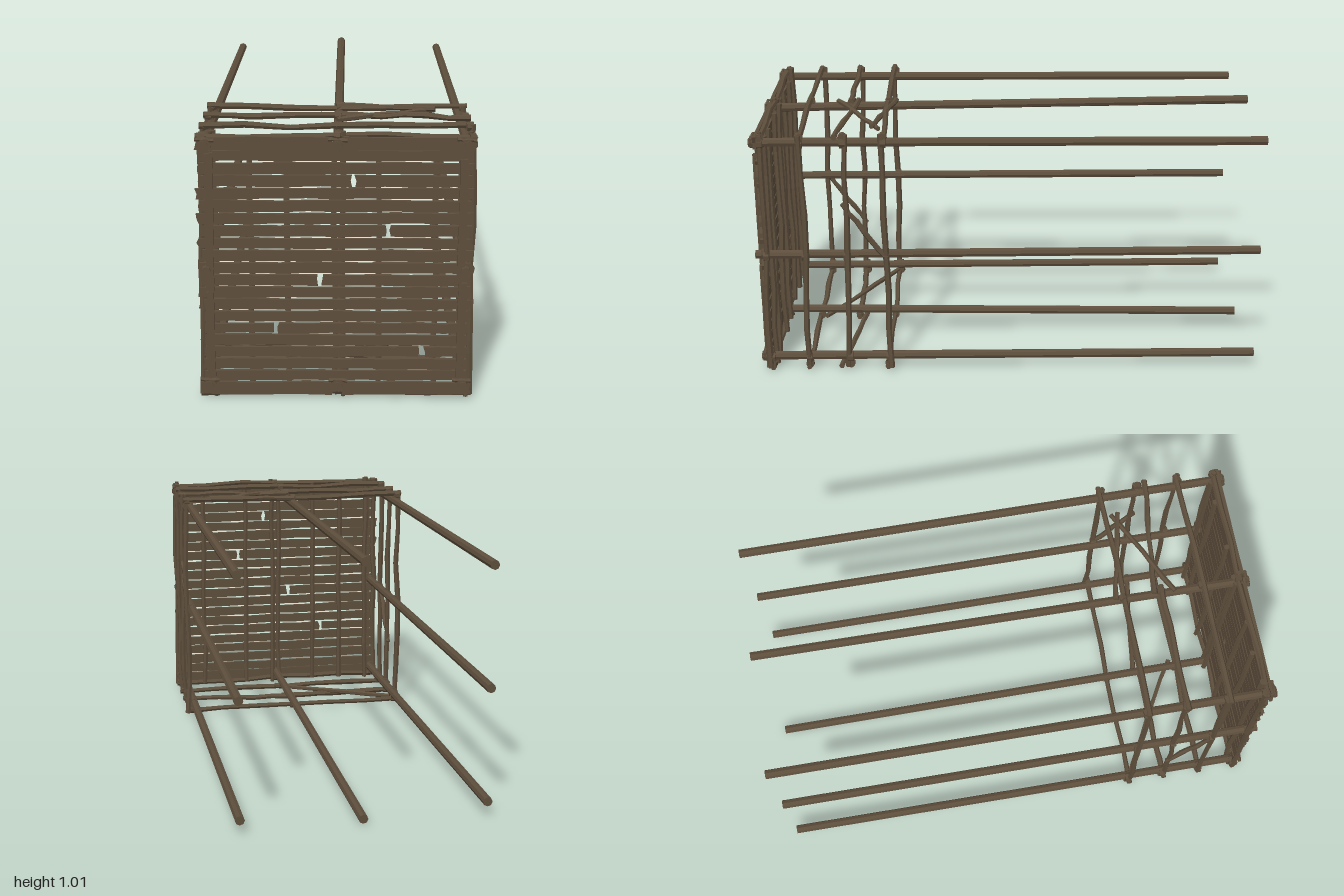
import * as THREE from 'three';

const wood = new THREE.MeshStandardMaterial({ color: 0x5d4e3c, flatShading: true });
wood.name = 'weathered wood';

// Seeded random in -1..1
let seed = 11;
const rnd = () => {
  seed = (seed * 16807) % 2147483647;
  return (seed / 2147483647) * 2 - 1;
};

export function createModel() {
  const model = new THREE.Group();
  model.name = 'woodenScaffold';

  const add = (geometry, name) => {
    const mesh = new THREE.Mesh(geometry, wood);
    mesh.name = name;
    model.add(mesh);
    return mesh;
  };

  // Round rod from a to b; bend makes it crooked and uneven like a branch
  const rod = (name, a, b, r, bend = 0, sides = 6) => {
    const start = new THREE.Vector3(...a), end = new THREE.Vector3(...b);
    const length = start.distanceTo(end), steps = bend ? 6 : 1;
    const g = new THREE.CylinderGeometry(r, r, length, sides, steps);
    const shift = Array.from({ length: steps + 1 }, () => [rnd() * bend, rnd() * bend, 1 + (bend ? rnd() * 0.15 : 0)]);
    const p = g.attributes.position;
    for (let i = 0; i < p.count; i++) {
      const [dx, dz, s] = shift[Math.round((p.getY(i) / length + 0.5) * steps)];
      p.setX(i, p.getX(i) * s + dx);
      p.setZ(i, p.getZ(i) * s + dz);
    }
    const mesh = add(g, name);
    mesh.position.copy(start).lerp(end, 0.5);
    mesh.quaternion.setFromUnitVectors(new THREE.Vector3(0, 1, 0), end.sub(start).normalize());
    return mesh;
  };

  // Flat board with wavy long edges and ragged ends, lying along x
  const board = (name, x0, x1, y, h, z, t = 0.014) => {
    const length = x1 - x0, steps = Math.max(3, Math.round(length * 10));
    const g = new THREE.BoxGeometry(length, h, t, steps, 2, 1);
    const p = g.attributes.position;
    const wave = Array.from({ length: steps + 1 }, () => [rnd() * 0.0025, rnd() * 0.0025]);
    const ragged = [0, 1, 2, 3, 4, 5].map(() => rnd() * 0.006);
    for (let i = 0; i < p.count; i++) {
      const col = Math.round((p.getX(i) / length + 0.5) * steps);
      const row = Math.round((p.getY(i) / h + 0.5) * 2);
      p.setY(i, p.getY(i) + (row === 2 ? wave[col][0] : row === 0 ? wave[col][1] : 0));
      if (col === 0) p.setX(i, p.getX(i) + ragged[row]);
      if (col === steps) p.setX(i, p.getX(i) + ragged[row + 3]);
    }
    const mesh = add(g, name);
    mesh.position.set((x0 + x1) / 2, y, z);
    return mesh;
  };

  // Lashing wrapped around a joint
  const knot = (x, y, z, axis, r = 0.02) => {
    const mesh = add(new THREE.CylinderGeometry(r, r * 0.95, 0.022, 7), 'lashing');
    mesh.position.set(x, y, z);
    if (axis === 'x') mesh.rotation.z = Math.PI / 2;
    if (axis === 'z') mesh.rotation.x = Math.PI / 2;
    mesh.rotation.y += rnd() * 0.3;
  };

  // Long poles running front to back: x, y at the front, y at the back
  const poles = [
    [-0.47, 0.975, 0.97], [0.463, 0.975, 0.97], [-0.47, 0.51, 0.51], [0.463, 0.51, 0.515],
    [-0.47, 0.067, 0.07], [0.463, 0.067, 0.065], [0.005, 0.975, 1.0], [0.005, 0.065, 0.037],
  ];
  for (const [x, yf, yb] of poles) rod('longPole', [x, yb, -1], [x, yf, 0.994], 0.018, 0, 8);

  // Crooked frames tied around the poles
  for (const z of [0.95, 0.8, 0.635, 0.48]) {
    for (const s of [-1, 1]) {
      rod('sidePost', [s * 0.487, 0.025, z + rnd() * 0.008], [s * 0.487, 1.01, z + rnd() * 0.008], 0.0115, 0.007);
      for (const y of [0.067, 0.51, 0.975]) knot(s * 0.476, y, z, 'z', 0.023);
      for (const y of [0.037, 1.0]) knot(s * 0.478, y, z, 'x', 0.017);
    }
    for (const y of [0.033, 1.003]) {
      if (z === 0.635) {
        rod('crossStick', [-0.5, y, 0.64], [0.03, y, 0.635], 0.012, 0.004);
        rod('crossStick', [0, y, 0.605], [0.495, y, 0.67], 0.011, 0.005);
      } else {
        rod('crossStick', [-0.5, y, z + 0.005], [0.495, y, z], 0.0115, 0.007);
      }
      knot(0.005, y, z, 'x', 0.016);
    }
  }

  // Diagonal braces on top, underneath and at the sides
  const braces = [
    [[0, 1.005, 0.45], [0.37, 1.005, 0.53]], [[0, 1.0, 0.69], [0.37, 1.0, 0.505]],
    [[-0.46, 0.045, 0.49], [0.04, 0.045, 0.775]],
    [[0.487, 0.73, 0.645], [0.487, 0.5, 0.48]], [[-0.487, 0.51, 0.8], [-0.487, 0.27, 0.635]],
  ];
  for (const [a, b] of braces) rod('brace', a, b, 0.0105, 0.004);

  // Upright sticks behind the planking
  for (const x of [-0.44, -0.31, -0.178, -0.008, 0.022, 0.153, 0.357, 0.445]) {
    rod('uprightStick', [x, 0.025, 0.937], [x, x === -0.44 ? 1.02 : 0.995, 0.937], 0.0115, 0.005);
  }

  // Front planking: row index -> x of the break
  const breaks = { 4: 0.31, 6: -0.22, 10: -0.06, 14: 0.185, 18: 0.06 };
  for (let i = 2; i <= 20; i++) {
    const y = 0.0995 + (i - 2) * 0.0464;
    const x0 = -0.494 + rnd() * 0.006, x1 = 0.487 + rnd() * 0.006;
    const h = 0.0385 + rnd() * 0.002;
    const z = 0.962 + rnd() * 0.002;
    const gap = breaks[i];
    const parts = gap === undefined ? [[x0, x1]] : [[x0, gap - 0.008], [gap + 0.008, x1]];
    for (const [a, b] of parts) board('plank', a, b, y, h, z).rotation.z = rnd() * 0.003;
  }

  // Wider planks along the top and bottom edges, set between the pole ends
  for (const [y, h] of [[0.979, 0.049], [0.051, 0.049]]) {
    board('edgePlank', -0.497, -0.012, y, h, 0.968);
    board('edgePlank', 0.022, 0.492, y, h, 0.968);
  }

  // Upright battens over the plank ends
  const battens = [[-0.455, 0.43, 0.945], [-0.458, 0.095, 0.43], [0.45, 0.47, 0.925], [0.453, 0.095, 0.47]];
  for (const [x, y0, y1] of battens) {
    const batten = board('batten', y0, y1, 0, 0.029, 0, 0.012);
    batten.rotation.z = Math.PI / 2 + rnd() * 0.01;
    batten.position.set(x, (y0 + y1) / 2, 0.976);
  }

  // Lashings around the front pole ends, with stub pegs
  for (const x of [-0.465, 0.005, 0.458]) {
    for (const y of [0.067, 0.975]) {
      knot(x, y, 0.978, 'z', 0.025);
      rod('peg', [x + 0.02, y - 0.055, 0.95], [x + 0.018, y + 0.045, 0.95], 0.0095, 0.002);
      rod('peg', [x - 0.034, y + 0.022, 0.981], [x + 0.034, y + 0.018, 0.981], 0.007, 0.002);
    }
  }
  return model;
}
